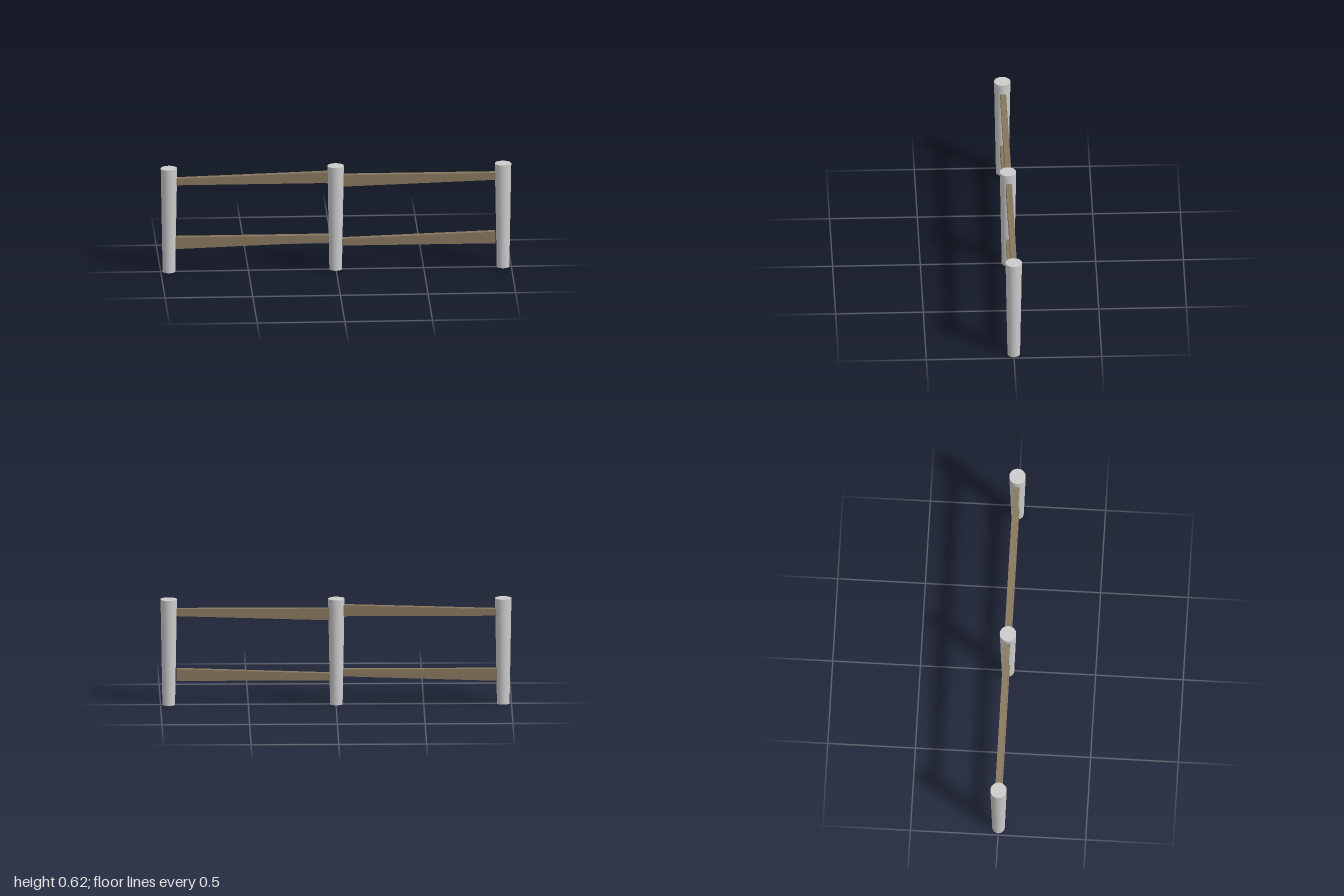
import * as THREE from 'three';

const postGrey = new THREE.MeshStandardMaterial({ color: 0xcccccc });
postGrey.name = 'postGrey';
const railBrown = new THREE.MeshStandardMaterial({ color: 0x86765d });
railBrown.name = 'railBrown';

const POST_HEIGHT = 0.617;
const RAIL_BACK = -0.021;
const RAIL_DEPTH = 0.034;

// Round post, slightly wider at the top
function makePost(name, x) {
  const post = new THREE.Mesh(new THREE.CylinderGeometry(0.047, 0.036, POST_HEIGHT, 32), postGrey);
  post.name = name;
  post.position.set(x, POST_HEIGHT / 2, 0);
  return post;
}

// Tapered plank: [bottom, top] heights at its two ends
function makeRail(name, x0, x1, [bottom0, top0], [bottom1, top1]) {
  const outline = new THREE.Shape([
    new THREE.Vector2(x0, bottom0),
    new THREE.Vector2(x1, bottom1),
    new THREE.Vector2(x1, top1),
    new THREE.Vector2(x0, top0),
  ]);
  const geometry = new THREE.ExtrudeGeometry(outline, { depth: RAIL_DEPTH, bevelEnabled: false });
  const rail = new THREE.Mesh(geometry, railBrown);
  rail.name = name;
  rail.position.z = RAIL_BACK;
  return rail;
}

export function createModel() {
  const fence = new THREE.Group();
  fence.name = 'fence';

  fence.add(
    makePost('rightPost', -0.953),
    makePost('middlePost', -0.002),
    makePost('leftPost', 0.953),
  );

  fence.add(
    makeRail('rightUpperRail', -0.916, -0.04, [0.518, 0.556], [0.518, 0.582]),
    makeRail('rightLowerRail', -0.916, -0.04, [0.137, 0.206], [0.166, 0.206]),
    makeRail('leftUpperRail', 0.035, 0.908, [0.495, 0.563], [0.522, 0.563]),
    makeRail('leftLowerRail', 0.035, 0.908, [0.143, 0.183], [0.143, 0.212]),
  );

  return fence;
}
